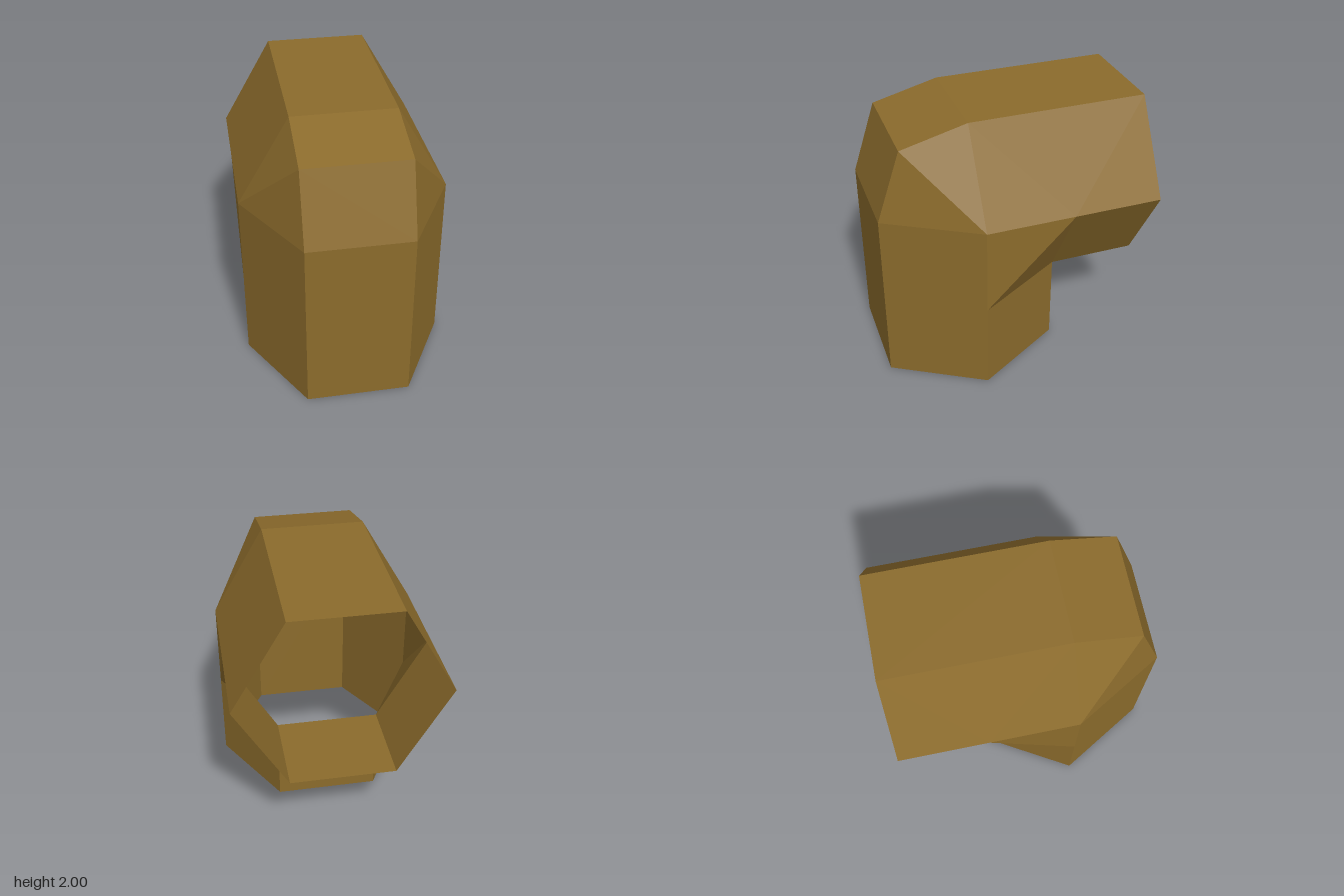
import * as THREE from 'three';

// Rails run along the bent hexagonal pipe; each point is [y, z] at one ring.
const outer = [[0, 0.985], [1.345, 0.985], [1.875, 0.81], [2, 0.325], [2, -0.985]];
const side = [[0, 0.325], [0.685, 0.325], [1.345, 0.325], [1.345, -0.33], [1.345, -0.985]];
const sideInner = [[0, 0.325], [0.685, 0.325], [1.015, -0.0025], [1.345, -0.33], [1.345, -0.985]];
const inner = [[0, -0.33], [0.685, -0.33], [0.685, -0.33], [0.685, -0.33], [0.685, -0.985]];

const rail = (x, points) => points.map(([y, z]) => new THREE.Vector3(x, y, z));

// Rails in order around the pipe, starting at the front left
const rails = [
  rail(-0.38, outer), rail(0.38, outer),
  rail(0.76, side), rail(0.76, sideInner),
  rail(0.38, inner), rail(-0.38, inner),
  rail(-0.76, sideInner), rail(-0.76, side),
];

// Skins the rails between two rings, folding each panel on its shorter diagonal
function pipeSection(from, to) {
  const points = [];
  const triangle = (a, b, c) => {
    if (new THREE.Triangle(a, b, c).getArea() > 1e-5) points.push(a, b, c);
  };
  for (let j = from; j < to; j++) {
    rails.forEach((railA, i) => {
      const railB = rails[(i + 1) % rails.length];
      const a = railA[j], b = railB[j], c = railB[j + 1], d = railA[j + 1];
      if (a.distanceTo(c) < b.distanceTo(d)) {
        triangle(a, b, c);
        triangle(a, c, d);
      } else {
        triangle(a, b, d);
        triangle(b, c, d);
      }
    });
  }
  const geometry = new THREE.BufferGeometry().setFromPoints(points);
  geometry.computeVertexNormals();
  return geometry;
}

export function createModel() {
  const group = new THREE.Group();
  group.name = 'hexagonalElbowPipe';
  const bronze = new THREE.MeshStandardMaterial({ color: 0x8b6b2c, side: THREE.DoubleSide });
  bronze.name = 'bronze';

  // Open upright leg, bend, and open leg pointing backwards
  for (const [name, from, to] of [['uprightPipe', 0, 1], ['elbowBend', 1, 3], ['rearPipe', 3, 4]]) {
    const mesh = new THREE.Mesh(pipeSection(from, to), bronze);
    mesh.name = name;
    group.add(mesh);
  }
  return group;
}
